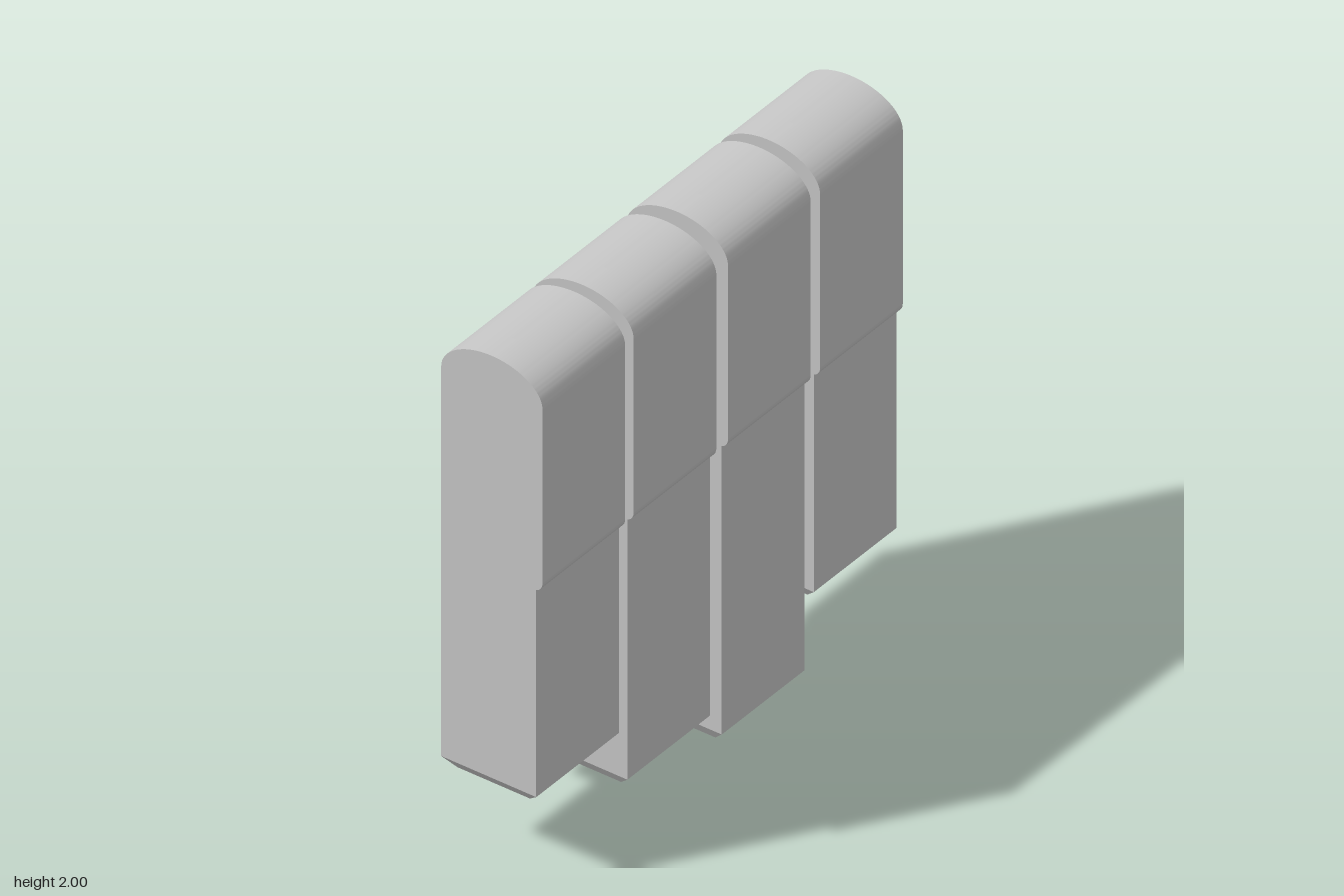
import * as THREE from 'three';
import { toCreasedNormals } from 'three/addons/utils/BufferGeometryUtils.js';

const LEFT = 0.2;      // half width of the upper part
const STEP = 0.175;    // narrower face below the ledge
const DEPTH = 0.437;

// Side profile: domed top, straight back, small rounded ledge on +x
function bodyGeometry(bottom) {
  const s = new THREE.Shape();
  s.moveTo(-LEFT, bottom);
  s.lineTo(STEP, bottom);
  s.lineTo(STEP, 1.165);
  s.quadraticCurveTo(LEFT, 1.175, LEFT, 1.205);
  s.lineTo(LEFT, 1.875);
  s.absellipse(0, 1.875, LEFT, 0.125, 0, Math.PI, false, 0);
  s.closePath();
  const g = new THREE.ExtrudeGeometry(s, { depth: DEPTH, bevelEnabled: false, curveSegments: 32 });
  g.translate(0, 0, -DEPTH / 2);
  return toCreasedNormals(g, 0.6);
}

// Chamfered foot: a box whose lower corners are pulled inwards
function tipGeometry(bottom, top) {
  const g = new THREE.BoxGeometry(LEFT + STEP, top - bottom, DEPTH).toNonIndexed();
  const p = g.attributes.position;
  for (let i = 0; i < p.count; i++) {
    if (p.getY(i) < 0) {
      p.setX(i, p.getX(i) - Math.sign(p.getX(i)) * 0.045);
      p.setZ(i, p.getZ(i) - Math.sign(p.getZ(i)) * 0.027);
    }
  }
  g.computeVertexNormals();
  g.translate((STEP - LEFT) / 2, (bottom + top) / 2, 0);
  return g;
}

export function createModel() {
  const grey = new THREE.MeshStandardMaterial({ color: 0xc6c6c6 });
  grey.name = 'light grey';
  const model = new THREE.Group();
  model.name = 'fingerBlocks';

  // Four blocks from front to back: centre z, bottom, top of chamfer
  const blocks = [
    [0.735, 0.322, 0.362],
    [0.253, 0.112, 0.155],
    [-0.246, 0, 0.046],
    [-0.733, 0.277, 0.321],
  ];
  blocks.forEach(([z, bottom, chamfer], i) => {
    const block = new THREE.Group();
    block.name = `block${i + 1}`;
    block.position.z = z;
    const body = new THREE.Mesh(bodyGeometry(chamfer), grey);
    body.name = 'body';
    const tip = new THREE.Mesh(tipGeometry(bottom, chamfer), grey);
    tip.name = 'chamferedTip';
    block.add(body, tip);
    model.add(block);
  });
  return model;
}
